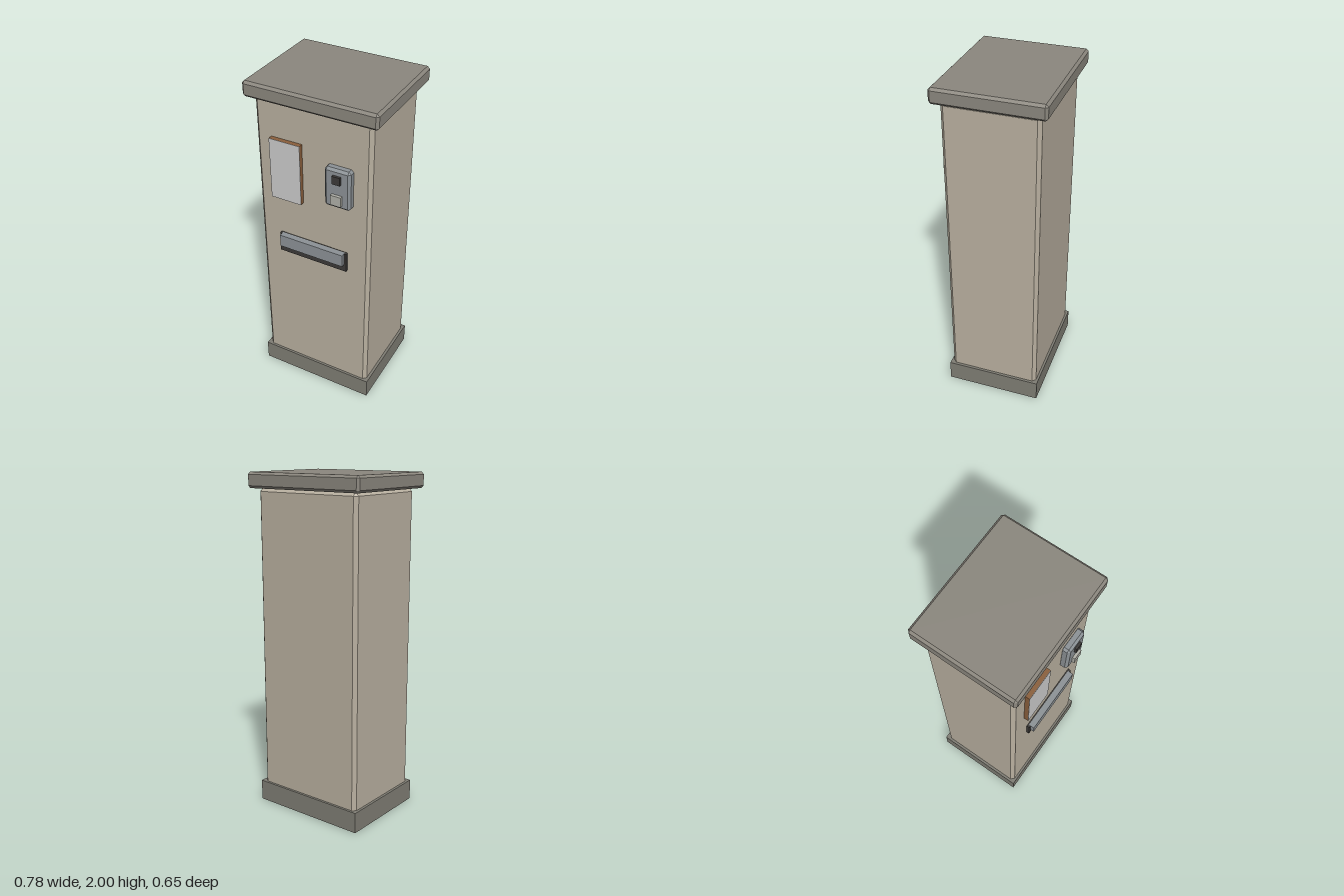
import * as THREE from 'three';
import { ConvexGeometry } from 'three/addons/geometries/ConvexGeometry.js';

const mat = (color) => new THREE.MeshStandardMaterial({ color, flatShading: true });

// Box with every edge cut at 45 degrees
function chamferedBox(w, h, d, c) {
  const points = [];
  for (const sx of [-1, 1]) for (const sy of [-1, 1]) for (const sz of [-1, 1]) {
    const x = sx * w / 2, y = sy * h / 2, z = sz * d / 2;
    points.push(
      new THREE.Vector3(x, y - sy * c, z - sz * c),
      new THREE.Vector3(x - sx * c, y, z - sz * c),
      new THREE.Vector3(x - sx * c, y - sy * c, z));
  }
  return new ConvexGeometry(points);
}

export function createModel() {
  const group = new THREE.Group();

  const bodyMat = mat(0xb9b0a0);
  const baseMat = mat(0x7f7d74);
  const capMat = mat(0x8b877e);
  const steel = mat(0x8c9296);
  const dark = mat(0x3c3a38);
  const brown = mat(0x8a5f3c);
  const pale = mat(0xb0b0a8);
  const grey = mat(0xcccccc);

  // Places a part by its limits on each axis
  function part(name, material, [x0, x1], [y0, y1], [z0, z1], chamfer = 0) {
    const w = x1 - x0, h = y1 - y0, d = z1 - z0;
    const geometry = chamfer ? chamferedBox(w, h, d, chamfer) : new THREE.BoxGeometry(w, h, d);
    const mesh = new THREE.Mesh(geometry, material);
    mesh.name = name;
    mesh.position.set((x0 + x1) / 2, (y0 + y1) / 2, (z0 + z1) / 2);
    group.add(mesh);
  }

  // Cabinet
  part('base', baseMat, [-0.362, 0.362], [0.002, 0.125], [-0.293, 0.277]);
  part('body', bodyMat, [-0.346, 0.346], [0, 1.912], [-0.279, 0.263], 0.02);
  part('cap', capMat, [-0.391, 0.391], [1.91, 2], [-0.323, 0.306], 0.014);

  // Notice board
  part('noticeBacking', brown, [-0.25, -0.063], [1.327, 1.695], [0.25, 0.289]);
  part('noticeFace', grey, [-0.25, -0.063], [1.327, 1.695], [0.289, 0.291]);

  // Card reader with screen and button
  part('reader', steel, [0.09, 0.244], [1.39, 1.63], [0.25, 0.306], 0.014);
  part('readerScreen', dark, [0.143, 0.191], [1.547, 1.595], [0.29, 0.32]);
  part('readerButton', pale, [0.137, 0.199], [1.418, 1.478], [0.29, 0.323]);

  // Delivery slot with flap
  part('slotFrame', dark, [-0.215, 0.212], [0.957, 1.08], [0.25, 0.281]);
  part('slotFlap', steel, [-0.202, 0.199], [1.005, 1.081], [0.27, 0.304]);

  return group;
}
